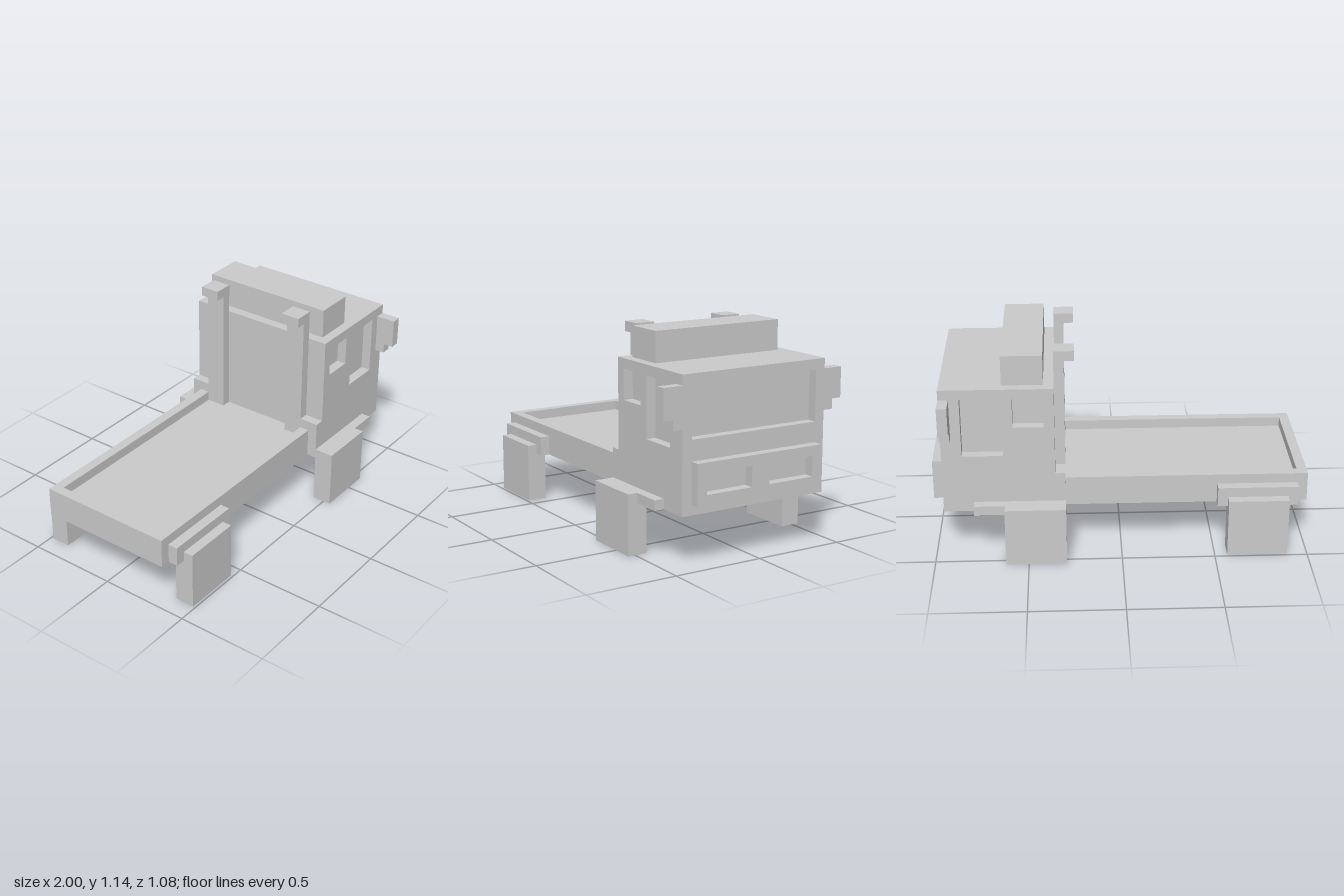
import * as THREE from 'three';

const U = 2 / 37; // one block; all sizes below are counted in blocks
const material = new THREE.MeshStandardMaterial({ color: 0xcccccc, flatShading: true });

export function createModel() {
  const model = new THREE.Group();
  model.name = 'blockTruck';
  const body = new THREE.Group();
  body.name = 'truckBody';
  body.scale.setScalar(U);
  body.position.x = -1; // x runs 0..37 from tail to bumper
  model.add(body);

  const add = (name, geometry) => {
    const mesh = new THREE.Mesh(geometry, material);
    mesh.name = name;
    body.add(mesh);
    return mesh;
  };

  // Box given by its limits on each axis
  const box = (name, x0, x1, y0, y1, z0, z1) =>
    add(name, new THREE.BoxGeometry(x1 - x0, y1 - y0, z1 - z0))
      .position.set((x0 + x1) / 2, (y0 + y1) / 2, (z0 + z1) / 2);

  // The same box on both sides
  const pair = (name, x0, x1, y0, y1, z0, z1) => {
    box(name + 'Left', x0, x1, y0, y1, -z1, -z0);
    box(name + 'Right', x0, x1, y0, y1, z0, z1);
  };

  // One-block-thick panel with rectangular holes [a0, a1, b0, b1]
  const panel = (outline, holes) => {
    const toPoints = (list) => list.map(([a, b]) => new THREE.Vector2(a, b));
    const shape = new THREE.Shape(toPoints(outline));
    for (const [a0, a1, b0, b1] of holes) {
      shape.holes.push(new THREE.Path(toPoints([[a0, b0], [a0, b1], [a1, b1], [a1, b0]])));
    }
    return new THREE.ExtrudeGeometry(shape, { depth: 1, bevelEnabled: false });
  };

  // Cargo bed with raised rim
  box('bedFloor', 0, 25, 5, 7, -7, 7);
  box('bedTailRim', 0, 1, 7, 8, -7, 7);
  pair('bedSideRim', 1, 24, 7, 8, 6, 7);

  // Cab: solid core, windshield frame and side panels with recessed windows
  box('cabCore', 25, 35, 5, 18, -7, 7);
  box('cabNose', 35, 36, 5, 12, -7, 7);
  box('windshieldHeader', 35, 36, 17, 18, -7, 7);
  const sideOutline = [[24, 5], [36, 5], [36, 18], [25, 18], [25, 9], [24, 9]];
  const sideWindows = [[26, 29, 14, 17], [30, 34, 11, 17]];
  for (const [name, z] of [['cabSideLeft', -8], ['cabSideRight', 7]]) {
    add(name, panel(sideOutline, sideWindows)).position.z = z;
  }
  pair('cabRearStep', 24, 25, 7, 9, 6, 7);

  // Roof box
  box('roofBox', 26, 30, 18, 21, -7, 7);

  // Exhaust stacks with tips turned to the rear
  pair('exhaustStack', 24, 25, 7, 21, 4, 6);
  pair('exhaustTip', 23, 24, 20, 21, 4, 6);

  // Bumper with headlight recesses
  const bumper = panel([[-7, 6], [7, 6], [7, 10], [-7, 10]], [[-6, -1, 7, 9], [1, 6, 7, 9]]);
  add('bumper', bumper.rotateY(Math.PI / 2)).position.x = 36;

  // Mirrors
  pair('mirrorArm', 35, 36, 13, 17, 8, 9);
  pair('mirrorHead', 35, 36, 14, 17, 9, 10);

  // Wheels, rear fenders and cab footsteps
  pair('frontWheel', 24, 30, 0, 6, 8, 10);
  pair('footstep', 30, 33, 5, 6, 8, 9);
  pair('rearFender', 1, 9, 5, 7, 7, 8);
  pair('rearWheelInner', 2, 8, 0, 5, 7, 8);
  pair('rearWheelOuter', 2, 8, 0, 6, 8, 9);

  // Left is the model's own -z side here only when heading along +x
  return model;
}
